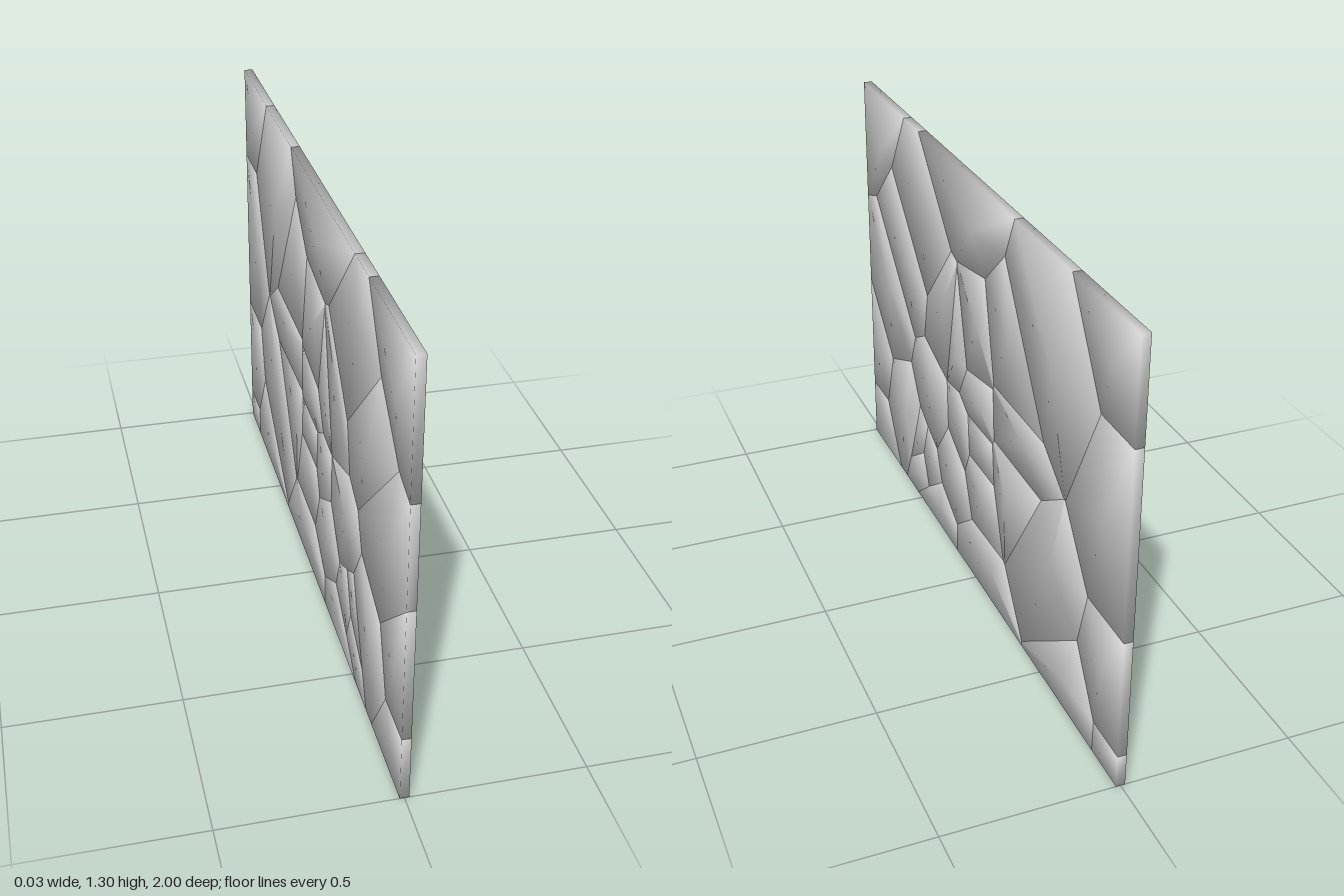
import * as THREE from 'three';

const HEIGHT = 1.3, HALF_LENGTH = 1, HALF_THICK = 0.013;

// One seed point [z, y] per shard; the cracks run halfway between neighbouring seeds
const SEEDS = [
  [0.992, 1.292], [0.451, 0.939], [0.562, 0.824], [0.773, 0.605],
  [0.982, 0.377], [0.981, 0.024], [0.627, 0.254], [0.355, 0.431],
  [0.258, 0.760], [0.147, 0.735], [0.020, 0.768], [0.106, 1.281],
  [-0.281, 0.837], [-0.500, 0.982], [-0.986, 1.289], [-0.984, 0.728],
  [-0.282, 0.663], [-0.001, 0.647], [0.114, 0.441], [-0.007, 0.452],
  [-0.008, 0.383], [-0.280, 0.479], [-0.479, 0.344], [-0.987, 0.190],
  [-0.716, 0.017], [-0.987, 0.008], [-0.023, 0.013], [0.190, 0.300],
  [0.464, 0.186], [0.483, 0.193], [0.475, 0.181], [0.347, 0.016],
].map(([z, y]) => new THREE.Vector2(z, y));

// Keep the part of a convex outline that lies nearer to seed a than to seed b
function clip(outline, a, b) {
  const normal = b.clone().sub(a);
  const middle = a.clone().add(b).multiplyScalar(0.5);
  const side = (p) => p.clone().sub(middle).dot(normal);
  const kept = [];
  outline.forEach((p, i) => {
    const q = outline[(i + 1) % outline.length];
    const sp = side(p), sq = side(q);
    if (sp <= 0) kept.push(p);
    if ((sp < 0 && sq > 0) || (sp > 0 && sq < 0)) kept.push(p.clone().lerp(q, sp / (sp - sq)));
  });
  return kept.filter((p, i) => p.distanceTo(kept[(i + 1) % kept.length]) > 1e-4);
}

// Outline of the shard around one seed, within the rectangular panel
function shardOutline(seed) {
  let outline = [
    new THREE.Vector2(-HALF_LENGTH, 0), new THREE.Vector2(HALF_LENGTH, 0),
    new THREE.Vector2(HALF_LENGTH, HEIGHT), new THREE.Vector2(-HALF_LENGTH, HEIGHT),
  ];
  for (const other of SEEDS) if (other !== seed) outline = clip(outline, seed, other);
  return outline;
}

// Closed slab with soft normals, weighted by the face angles at each corner
function shardGeometry(outline) {
  const n = outline.length;
  const positions = [], normals = [], indices = [];
  const centre = new THREE.Vector2();
  outline.forEach((p) => centre.addScaledVector(p, 1 / n));
  const edges = outline.map((p, i) => outline[(i + 1) % n].clone().sub(p).normalize());

  for (const s of [1, -1]) {
    outline.forEach((p, i) => {
      const before = edges[(i + n - 1) % n], after = edges[i];
      const angle = Math.PI - Math.acos(THREE.MathUtils.clamp(before.dot(after), -1, 1));
      const normal = new THREE.Vector3(
        s * angle,
        -(before.x + after.x) * Math.PI / 2,
        (before.y + after.y) * Math.PI / 2,
      ).normalize();
      positions.push(s * HALF_THICK, p.y, p.x);
      normals.push(normal.x, normal.y, normal.z);
    });
    positions.push(s * HALF_THICK, centre.y, centre.x);
    normals.push(s, 0, 0);
  }

  // Two faces fanned from their centres, and the rim between them
  const back = n + 1;
  for (let i = 0; i < n; i++) {
    const j = (i + 1) % n;
    indices.push(n, j, i);
    indices.push(back + n, back + i, back + j);
    indices.push(i, j, back + i, j, back + j, back + i);
  }

  const geometry = new THREE.BufferGeometry();
  geometry.setAttribute('position', new THREE.Float32BufferAttribute(positions, 3));
  geometry.setAttribute('normal', new THREE.Float32BufferAttribute(normals, 3));
  geometry.setIndex(indices);
  return geometry;
}

export function createModel() {
  const panel = new THREE.Group();
  panel.name = 'shatteredPanel';
  const material = new THREE.MeshStandardMaterial({ color: 0xcccccc });
  SEEDS.forEach((seed, i) => {
    const shard = new THREE.Mesh(shardGeometry(shardOutline(seed)), material);
    shard.name = `shard${i + 1}`;
    panel.add(shard);
  });
  return panel;
}
